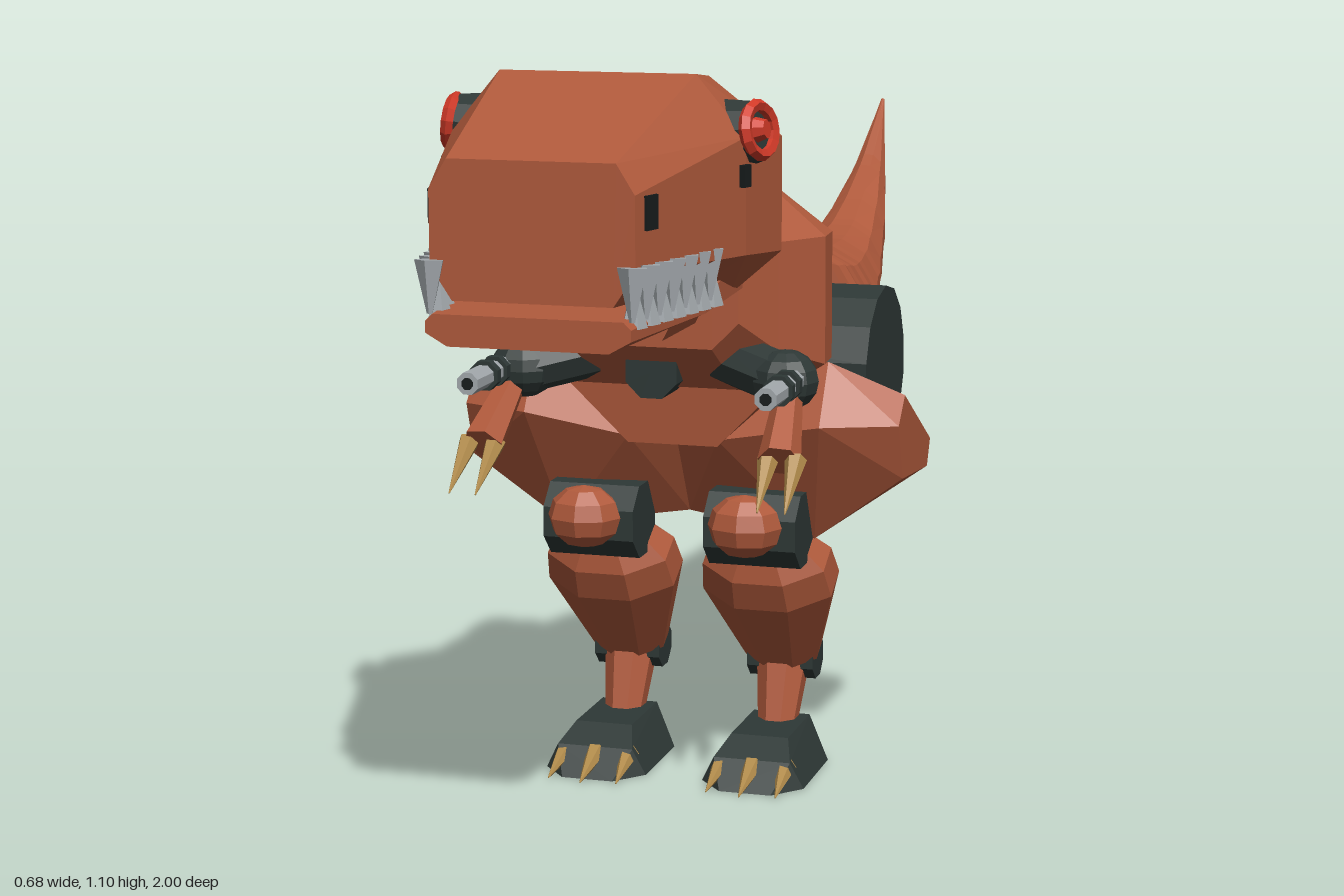
import * as THREE from 'three';
import { ConvexGeometry } from 'three/addons/geometries/ConvexGeometry.js';

const paint = (name, color) => {
  const m = new THREE.MeshStandardMaterial({ color });
  m.name = name;
  return m;
};

export function createModel() {
  const rust = paint('rust armour', 0xb05a3c);
  const dark = paint('dark metal', 0x2e3836);
  const black = paint('black hollow', 0x171c1c);
  const steel = paint('steel', 0xa4aaae);
  const gold = paint('claw gold', 0xb08a4a);
  const red = paint('red glow', 0xd23a28);

  const root = new THREE.Group();
  root.name = 'mechanicalDinosaur';
  const V = (p) => new THREE.Vector3(...p);

  // Every mesh is faceted: split the faces, then take face normals
  function add(name, geo, mat) {
    const g = geo.index ? geo.toNonIndexed() : geo;
    g.computeVertexNormals();
    const mesh = new THREE.Mesh(g, mat);
    mesh.name = name;
    root.add(mesh);
    return mesh;
  }

  // Turn a geometry whose axis is `axis` to point along a direction
  function aim(mesh, axis, dir, pos) {
    mesh.quaternion.setFromUnitVectors(V(axis), dir.clone().normalize());
    mesh.position.copy(pos);
    return mesh;
  }

  // Tapered rod between two points
  function rod(name, mat, p0, p1, r0, r1, sides = 8, widen = 1) {
    const a = V(p0), b = V(p1), d = b.clone().sub(a);
    const geo = new THREE.CylinderGeometry(r1, r0, d.length(), sides);
    geo.rotateY(Math.PI / sides);
    geo.scale(widen, 1, 1);
    return aim(add(name, geo, mat), [0, 1, 0], d, a.add(b).multiplyScalar(0.5));
  }

  const hull = (name, mat, pts) => add(name, new ConvexGeometry(pts.map(V)), mat);

  function box(name, mat, size, pos, rx = 0, ry = 0) {
    const m = add(name, new THREE.BoxGeometry(...size), mat);
    m.position.set(...pos);
    m.rotation.set(rx, ry, 0);
    return m;
  }

  function ball(name, mat, pos, size, w = 10, h = 8) {
    const g = new THREE.SphereGeometry(1, w, h);
    g.scale(...size);
    return add(name, g, mat).position.set(...pos);
  }

  // Skin rings together, ordered front to back, with closed ends
  function loft(name, mat, rings) {
    const pos = [], n = rings[0].length;
    const tri = (...ps) => ps.forEach((p) => pos.push(...p));
    for (let k = 0; k + 1 < rings.length; k++) {
      for (let i = 0; i < n; i++) {
        const j = (i + 1) % n, a = rings[k], b = rings[k + 1];
        tri(a[i], b[i], a[j]);
        tri(a[j], b[i], b[j]);
      }
    }
    const first = rings[0], last = rings[rings.length - 1];
    for (let i = 1; i + 1 < n; i++) {
      tri(first[0], first[i], first[i + 1]);
      tri(last[0], last[i + 1], last[i]);
    }
    const g = new THREE.BufferGeometry();
    g.setAttribute('position', new THREE.Float32BufferAttribute(pos, 3));
    return add(name, g, mat);
  }

  // Chamfered cross-section: bottom, lower side, upper side, top, half widths
  const octagon = ([z, y0, y1, y2, y3, w0, w, w3]) => [
    [w0, y0, z], [w, y1, z], [w, y2, z], [w3, y3, z],
    [-w3, y3, z], [-w, y2, z], [-w, y1, z], [-w0, y0, z],
  ];

  // Head, jaw and neck
  loft('skull', rust, [
    [0.98, 0.825, 0.87, 0.97, 1.01, 0.11, 0.14, 0.115],
    [0.71, 0.82, 0.86, 1.02, 1.103, 0.15, 0.21, 0.14],
    [0.58, 0.785, 0.85, 1.01, 1.09, 0.15, 0.225, 0.12],
    [0.48, 0.86, 0.88, 0.99, 1.03, 0.1, 0.16, 0.1],
  ].map(octagon));
  loft('lowerJaw', rust, [
    [1.0, 0.768, 0.785, 0.80, 0.81, 0.11, 0.14, 0.13],
    [0.75, 0.765, 0.785, 0.81, 0.82, 0.12, 0.165, 0.15],
    [0.55, 0.765, 0.79, 0.83, 0.84, 0.1, 0.16, 0.14],
  ].map(octagon));
  hull('throat', rust, [-1, 1].flatMap((s) => [
    [s * 0.1, 0.775, 0.66], [s * 0.075, 0.728, 0.66], [s * 0.1, 0.775, 0.48], [s * 0.075, 0.728, 0.48],
  ]));
  hull('neck', rust, [-1, 1].flatMap((s) => [
    [s * 0.08, 0.935, 0.41], [s * 0.08, 0.92, 0.52], [s * 0.12, 0.86, 0.40],
    [s * 0.12, 0.84, 0.58], [s * 0.09, 0.75, 0.40], [s * 0.09, 0.76, 0.58],
  ]));

  // Trunk
  loft('chest', rust, [
    [0.5, 0.69, 0.73, 0.82, 0.86, 0.1, 0.14, 0.1],
    [0.43, 0.62, 0.68, 0.84, 0.89, 0.12, 0.18, 0.12],
    [0.35, 0.605, 0.65, 0.84, 0.925, 0.16, 0.23, 0.13],
    [0.29, 0.61, 0.65, 0.84, 0.91, 0.16, 0.225, 0.13],
    [0.21, 0.63, 0.67, 0.79, 0.845, 0.12, 0.17, 0.1],
  ].map(octagon));
  hull('belly', rust, [-1, 1].flatMap((s) => [
    [s * 0.18, 0.63, 0.38], [s * 0.18, 0.63, 0.22], [s * 0.07, 0.52, 0.37], [s * 0.07, 0.5, 0.2],
  ]));
  rod('chestPlate', dark, [0, 0.648, 0.4], [0, 0.648, 0.475], 0.042, 0.042, 8);
  rod('hipAxle', dark, [-0.275, 0.61, 0.15], [0.275, 0.61, 0.15], 0.13, 0.13, 14);
  ball('rearBody', dark, [0, 0.63, 0.04], [0.2, 0.135, 0.14], 14, 10);
  hull('spineBlock', dark, [-1, 1].flatMap((s) => [
    [s * 0.06, 0.79, 0.23], [s * 0.06, 0.775, 0.06], [s * 0.12, 0.7, 0.24], [s * 0.1, 0.7, 0.03],
  ]));

  // Back disc with a glowing rim
  rod('backDisc', dark, [0, 0.835, 0.052], [0, 0.835, 0.074], 0.064, 0.064, 16);
  aim(add('backDiscRing', new THREE.TorusGeometry(0.053, 0.009, 4, 16), red),
    [0, 0, 1], V([0, 0, 1]), V([0, 0.835, 0.073]));

  // Tail: z, bottom, top, half width; each band ends in a small step
  const bands = [
    [-0.085, 0.465, 0.777, 0.175], [-0.2, 0.46, 0.757, 0.172], [-0.31, 0.475, 0.735, 0.147],
    [-0.41, 0.487, 0.718, 0.132], [-0.51, 0.505, 0.708, 0.11], [-0.61, 0.532, 0.71, 0.092],
    [-0.7, 0.57, 0.727, 0.073], [-0.8, 0.632, 0.77, 0.055], [-0.89, 0.72, 0.826, 0.033],
    [-1.0, 0.918, 0.922, 0.003],
  ];
  const tailRing = (z, y0, y1, w, k = 1) => Array.from({ length: 12 }, (_, i) => {
    const t = (i + 0.5) * Math.PI / 6, h = (y1 - y0) / 2 * k;
    const lean = (z + 1) * -0.1 + Math.max(0, -z - 0.5) * 0.25;
    return [Math.cos(t) * w * k, (y0 + y1) / 2 + Math.sin(t) * h * 1.03, z + Math.sin(t) * h * lean];
  });
  loft('tail', rust, bands.flatMap((b, i) => {
    const next = bands[i + 1];
    if (!next) return [tailRing(...b)];
    const step = b.map((v, c) => v + (next[c] - v) * 0.72);
    return [tailRing(...b), tailRing(...step, 0.975)];
  }));

  for (const s of [1, -1]) {
    const side = s > 0 ? 'left' : 'right';
    const P = (x, y, z) => [s * x, y, z];

    // Eye, nostril and exhaust pipe
    const out = V(P(0.95, 0.12, 0.15));
    rod(side + 'EyeSocket', dark, P(0.16, 1.015, 0.67), P(0.217, 1.026, 0.68), 0.055, 0.042, 10);
    const ring = new THREE.TorusGeometry(0.034, 0.009, 5, 14);
    ring.scale(1.3, 1, 1);
    aim(add(side + 'EyeRing', ring, red), [0, 0, 1], out, V(P(0.22, 1.027, 0.68)));
    rod(side + 'Pupil', red, P(0.21, 1.026, 0.68), P(0.232, 1.029, 0.683), 0.02, 0.013, 8);
    box(side + 'Nostril', black, [0.008, 0.045, 0.028], P(0.149, 0.945, 0.945), 0, -s * 0.25);
    box(side + 'CheekMark', black, [0.008, 0.03, 0.018], P(0.215, 0.97, 0.73), 0, -s * 0.25);
    rod(side + 'Exhaust', dark, P(0.12, 0.98, 0.53), P(0.12, 0.98, 0.445), 0.044, 0.044, 10);
    rod(side + 'ExhaustHollow', black, P(0.12, 0.98, 0.447), P(0.12, 0.98, 0.443), 0.03, 0.03, 10);

    // Interlocking teeth
    for (let i = 0; i < 7; i++) {
      const z = 0.982 - i * 0.034, x = 0.138 + i * 0.007;
      rod(side + 'UpperTooth', steel, P(x, 0.878, z), P(x, 0.808, z + 0.005), 0.021, 0.004, 5);
      rod(side + 'LowerTooth', steel, P(x - 0.005, 0.798, z - 0.016), P(x - 0.005, 0.855, z - 0.016), 0.018, 0.003, 5);
    }

    // Arm with gun barrel and two claws
    rod(side + 'UpperArm', dark, P(0.1, 0.67, 0.43), P(0.19, 0.648, 0.465), 0.04, 0.04, 8);
    ball(side + 'Shoulder', dark, P(0.2, 0.645, 0.465), [0.05, 0.045, 0.05]);
    rod(side + 'Barrel', steel, P(0.22, 0.65, 0.49), P(0.22, 0.65, 0.645), 0.017, 0.017, 8);
    rod(side + 'BarrelBore', black, P(0.22, 0.65, 0.643), P(0.22, 0.65, 0.647), 0.009, 0.009, 8);
    for (const z of [0.525, 0.565]) {
      rod(side + 'BarrelBand', dark, P(0.22, 0.65, z), P(0.22, 0.65, z + 0.015), 0.023, 0.023, 8);
    }
    rod(side + 'Forearm', rust, P(0.21, 0.625, 0.485), P(0.222, 0.55, 0.58), 0.021, 0.031, 6);
    for (const x of [0.205, 0.245]) {
      rod(side + 'HandClaw', gold, P(x, 0.553, 0.575), P(x + 0.004, 0.49, 0.65), 0.016, 0.001, 6);
    }

    // Flared thigh armour
    hull(side + 'Thigh', rust, [
      P(0.34, 0.6, 0.3), P(0.34, 0.56, 0.34), P(0.34, 0.475, 0.31), P(0.34, 0.5, 0.12), P(0.34, 0.46, 0.14),
      P(0.23, 0.65, 0.33), P(0.23, 0.56, 0.385), P(0.2, 0.37, 0.29), P(0.2, 0.43, 0.08), P(0.23, 0.5, 0.09),
      P(0.07, 0.53, 0.37), P(0, 0.53, 0.35), P(0, 0.4, 0.28), P(0, 0.435, 0.09), P(0, 0.5, 0.1),
    ]);

    // Knee
    rod(side + 'KneeJoint', dark, P(0.055, 0.395, 0.34), P(0.197, 0.395, 0.34), 0.06, 0.06, 8);
    ball(side + 'KneeCap', rust, P(0.125, 0.412, 0.415), [0.057, 0.048, 0.048], 8, 6);

    // Shin, swelling just below the knee
    const shin = new THREE.LatheGeometry(
      [[0, 0], [0.047, 0], [0.083, 0.15], [0.078, 0.2], [0.05, 0.24], [0, 0.24]]
        .map((p) => new THREE.Vector2(...p)), 8);
    shin.rotateY(Math.PI / 8);
    shin.scale(1.32, 1, 0.9);
    aim(add(side + 'Shin', shin, rust), [0, 1, 0], V([0, 0.2, 0.115]), V(P(0.125, 0.165, 0.19)));

    // Ankle, spur and lower leg
    rod(side + 'Ankle', dark, P(0.072, 0.155, 0.18), P(0.178, 0.155, 0.18), 0.036, 0.036, 8);
    rod(side + 'Spur', steel, P(0.125, 0.165, 0.175), P(0.125, 0.25, 0.12), 0.024, 0.002, 5);
    rod(side + 'LowerLeg', rust, P(0.125, 0.15, 0.19), P(0.125, 0.055, 0.225), 0.042, 0.031, 8);

    // Foot and toe claws
    hull(side + 'Foot', dark, [
      P(0.045, 0, 0.22), P(0.205, 0, 0.22), P(0.08, 0, 0.185), P(0.17, 0, 0.185),
      P(0.045, 0, 0.37), P(0.205, 0, 0.37), P(0.085, 0, 0.415), P(0.165, 0, 0.415),
      P(0.08, 0.065, 0.2), P(0.17, 0.065, 0.2), P(0.08, 0.065, 0.33), P(0.17, 0.065, 0.33),
      P(0.065, 0.04, 0.375), P(0.185, 0.04, 0.375),
    ]);
    for (const k of [-1, 0, 1]) {
      const x = 0.125 + k * 0.05, z = 0.37 - Math.abs(k) * 0.01;
      rod(side + 'ToeClaw', gold, P(x, 0.03, z), P(x + k * 0.004, 0.005, z + 0.078), 0.016, 0.001, 6);
    }
  }
  return root;
}
